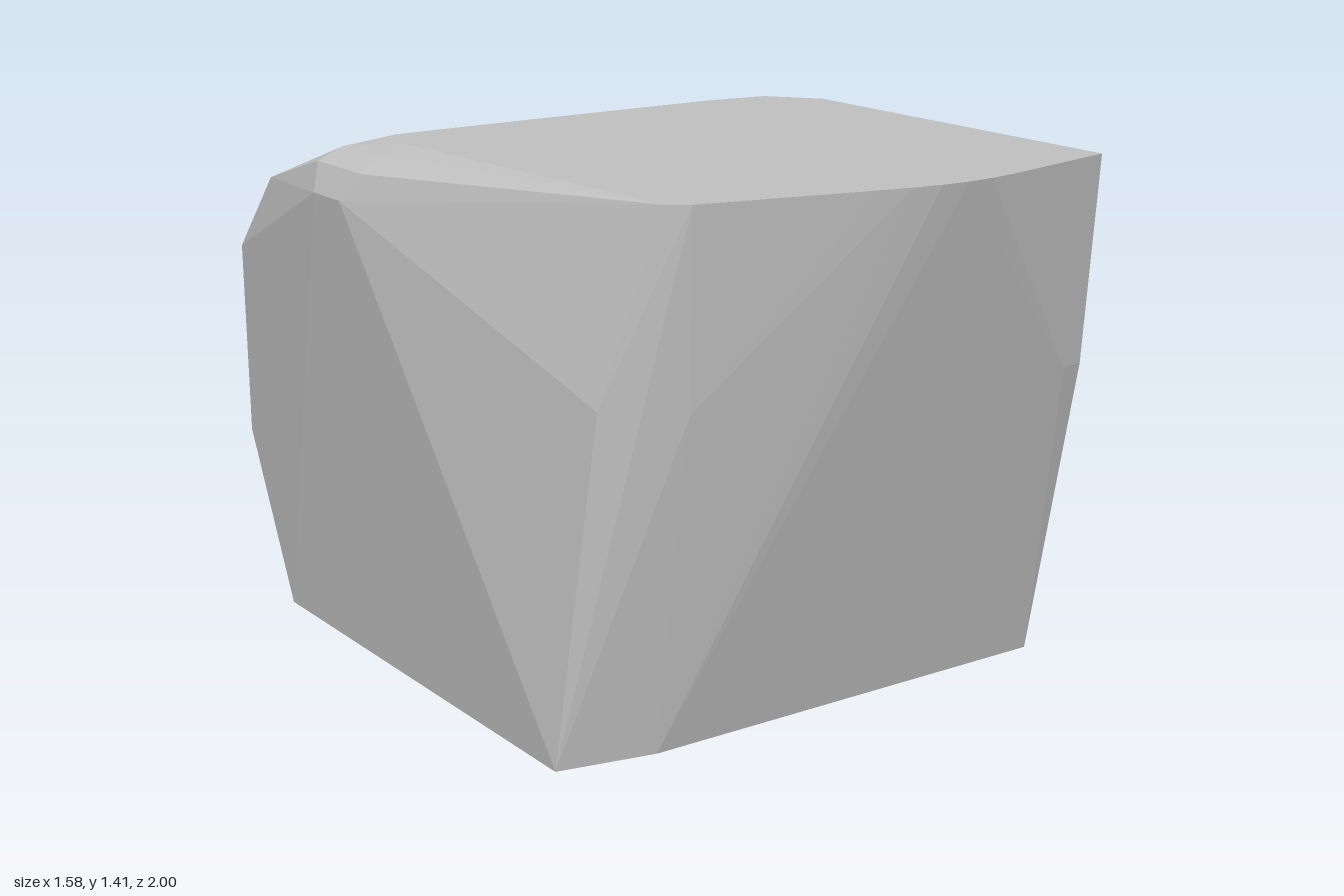
import * as THREE from 'three';
import { ConvexGeometry } from 'three/addons/geometries/ConvexGeometry.js';

export function createModel() {
  const group = new THREE.Group();
  group.name = 'stoneBlock';
  const stone = new THREE.MeshStandardMaterial({ color: 0xc0c0c0 });
  stone.name = 'stone grey';
  const points = [];
  const add = (x, y, z) => points.push(new THREE.Vector3(x, y, z));
  const R = 0.79, L = -0.715, T = 1.41;

  // straight back edges, chamfered above and below, shared by both sides
  const backProfile = [[0, -0.76], [0.47, -0.99], [1.02, -1], [1.25, -0.79]];
  for (const x of [L, R]) for (const [y, z] of backProfile) add(x, y, z);

  // flat top: bowed front edge, then the rear edge
  const topEdge = [
    [R, 0.905], [0.41, 0.985], [0.33, 0.996], [0.25, 1], [0.17, 0.996], [0.09, 0.983], [0, 0.963],
    [-0.46, 0.855], [-0.51, 0.82], [R, -0.22], [0.68, -0.36], [0.5, -0.385], [-0.1, -0.385],
    [-0.54, -0.38], [-0.6, -0.25],
  ];
  for (const [x, z] of topEdge) add(x, T, z);

  // front: base edge and the shallow facets above it
  add(R, 0, 0.71);
  add(-0.45, 0, 0.705);
  add(L, 0, 0.65);
  add(R, 0.85, 0.865);
  add(0.72, 0.85, 0.877);
  add(-0.16, 0.85, 0.862);
  add(-0.44, 0.9, 0.822);
  add(-0.64, 0.92, 0.73);

  // rounded shoulder on the narrow side
  add(-0.79, 1.28, -0.38);
  add(-0.79, 1.28, -0.24);
  add(-0.755, 1.355, -0.42);
  add(-0.755, 1.355, -0.18);
  add(-0.69, 1.39, -0.4);
  add(-0.69, 1.392, -0.2);

  const block = new THREE.Mesh(new ConvexGeometry(points), stone);
  block.name = 'block';
  group.add(block);
  return group;
}
